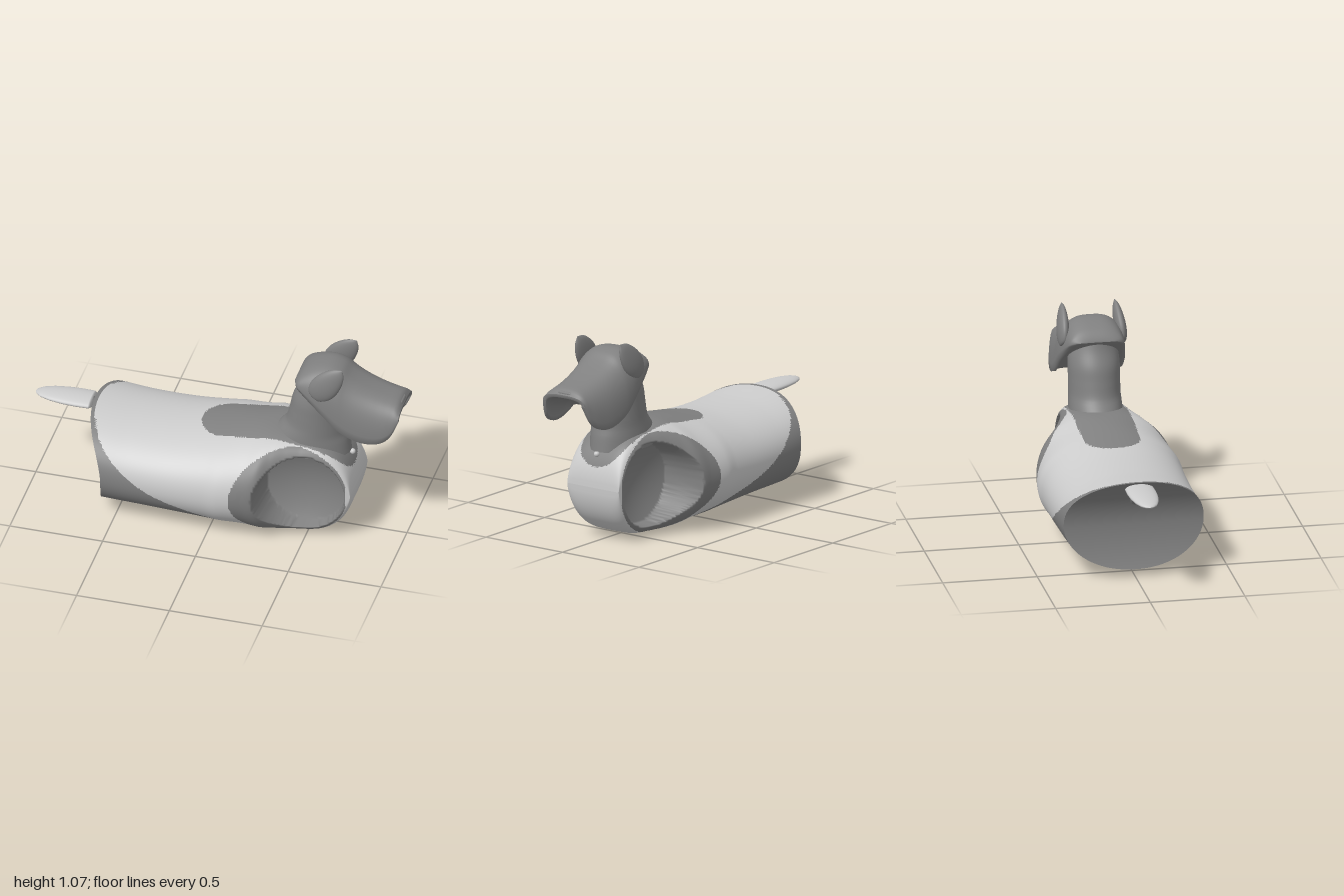
import * as THREE from 'three';

const V = (x, y, z) => new THREE.Vector3(x, y, z);
const light = new THREE.MeshStandardMaterial({ color: 0xcccccc, side: THREE.DoubleSide });
const dark = new THREE.MeshStandardMaterial({ color: 0x808080, side: THREE.DoubleSide });

// smooth interpolation through [x, value] pairs
function curve(pts) {
  const slope = i => {
    const a = pts[Math.max(i - 1, 0)], b = pts[Math.min(i + 1, pts.length - 1)];
    return (b[1] - a[1]) / (b[0] - a[0]);
  };
  return x => {
    if (x <= pts[0][0]) return pts[0][1];
    if (x >= pts[pts.length - 1][0]) return pts[pts.length - 1][1];
    let i = 0;
    while (x > pts[i + 1][0]) i++;
    const h = pts[i + 1][0] - pts[i][0], t = (x - pts[i][0]) / h, t2 = t * t, t3 = t2 * t;
    return pts[i][1] * (2 * t3 - 3 * t2 + 1) + slope(i) * h * (t3 - 2 * t2 + t)
      + pts[i + 1][1] * (3 * t2 - 2 * t3) + slope(i + 1) * h * (t3 - t2);
  };
}

// skin over a row of rings
function loft(rings, closed = true) {
  const n = rings[0].length, m = closed ? n : n - 1, index = [];
  for (let i = 0; i < rings.length - 1; i++) {
    for (let j = 0; j < m; j++) {
      const k = (j + 1) % n, a = i * n + j, b = a + n, c = i * n + k, d = c + n;
      index.push(a, b, c, b, d, c);
    }
  }
  const g = new THREE.BufferGeometry().setFromPoints(rings.flat());
  g.setIndex(index);
  g.computeVertexNormals();
  return g;
}

function add(parent, name, geometry, material, x = 0, y = 0, z = 0) {
  const mesh = new THREE.Mesh(geometry, material);
  mesh.name = name;
  mesh.position.set(x, y, z);
  parent.add(mesh);
  return mesh;
}

// body outline along its length
const topLine = curve([[-0.55, 0.55], [-0.4, 0.53], [-0.2, 0.53], [0, 0.553], [0.2, 0.583], [0.32, 0.59], [0.47, 0.575]]);
const bottomLine = curve([[-0.55, 0.045], [-0.3, 0.04], [0, 0.022], [0.25, 0.005], [0.47, 0.018]]);
const halfWidth = curve([[-0.55, 0.37], [0, 0.378], [0.08, 0.383], [0.2, 0.367], [0.27, 0.35], [0.33, 0.295],
  [0.4, 0.245], [0.5, 0.208], [0.62, 0.187], [0.74, 0.168]]);
const squareness = curve([[0, 2.1], [0.25, 2.2], [0.45, 4], [0.74, 5]]);
const hipLine = curve([[-0.67, 0.56], [-0.5, 0.4], [-0.3, 0.26], [0, 0.13], [0.3, 0.01]]);

function bodyPoint(x0, a) {
  const nose = Math.max(0, (x0 - 0.47) / 0.27);
  const shrink = Math.pow(Math.max(0, 1 - Math.pow(nose, 2.3)), 0.5);
  const t = topLine(x0), b = bottomLine(x0), n = squareness(x0);
  const c = Math.cos(a), s = Math.sin(a);
  const k = Math.pow(Math.abs(c) ** n + Math.abs(s) ** n, -1 / n);
  const y = (t + b) / 2 + (t - b) / 2 * shrink * k * s;
  let z = halfWidth(x0) * k * c;
  // curved rear cut
  const v = (y - 0.28) / 0.26, fade = Math.max(0, (-x0 - 0.1) / 0.45);
  const x = x0 - (v > 0 ? 0.12 : 0.055) * v * v * fade * fade;
  // shoulder socket
  const r = Math.hypot(x - 0.49, y - 0.29);
  if (r < 0.232) {
    const cup = r < 0.217 ? 0.07 + 0.05 * (r / 0.217) ** 2 : 0.12 + 0.28 * (r - 0.217) / 0.015;
    z = Math.sign(z) * Math.min(Math.abs(z), cup);
  }
  return V(x, y, z);
}

function isDark(p) {
  const az = Math.abs(p.z);
  const socket = az > 0.03 && Math.hypot((p.x - 0.432) / 0.292, (p.y - 0.29) / 0.268) < 1 && p.x < 0.715;
  const hip = p.y < hipLine(p.x) && p.x < 0.3;
  const patch = p.y > 0.42 && p.x < 0.6 && (p.x > 0.05 ? az < 0.15 : Math.hypot(p.x - 0.05, p.z) < 0.15);
  const bib = p.x > 0.5 && az < 0.145 && p.y > 0.55 - Math.sqrt(0.145 ** 2 - az * az);
  return socket || hip || patch || bib;
}

function buildBody(parent) {
  const N = 192, S = 150, rings = [];
  for (let i = 0; i <= S; i++) {
    const x = -0.55 + 1.29 * (1 - Math.pow(1 - i / S, 1.35));
    rings.push(Array.from({ length: N }, (_, j) => bodyPoint(x, j / N * Math.PI * 2)));
  }
  const g = loft(rings), flat = rings.flat(), all = g.index.array;
  const sets = [[], []];
  for (let i = 0; i < all.length; i += 3) {
    const tri = [all[i], all[i + 1], all[i + 2]];
    const mid = V(0, 0, 0);
    tri.forEach(k => mid.addScaledVector(flat[k], 1 / 3));
    sets[isDark(mid) ? 1 : 0].push(...[tri[0], tri[1], tri[2]]);
  }
  sets.forEach((set, k) => {
    const part = g.clone();
    part.setIndex(set);
    add(parent, k ? 'bodyInsets' : 'bodyShell', part, k ? dark : light);
  });
  // rear wall, one level row at a time
  const rows = [];
  for (let j = -N / 4; j <= N / 4; j++) {
    rows.push([rings[0][(j + N) % N], rings[0][N / 2 - j]]);
  }
  add(parent, 'rearWall', loft(rows, false), dark);
}

function buildHead(parent) {
  // x, top, bottom, cavity roof, half width
  const stations = [
    [0.425, 0.945, 0.935, 0.936, 0.10], [0.44, 0.968, 0.92, 0.921, 0.135], [0.47, 0.995, 0.895, 0.896, 0.15],
    [0.53, 1.02, 0.845, 0.846, 0.165], [0.60, 1.028, 0.785, 0.786, 0.178], [0.66, 1.01, 0.728, 0.729, 0.182],
    [0.70, 0.978, 0.70, 0.72, 0.182], [0.74, 0.953, 0.68, 0.77, 0.181], [0.80, 0.925, 0.662, 0.785, 0.178],
    [0.86, 0.904, 0.66, 0.80, 0.172], [0.91, 0.89, 0.675, 0.81, 0.165], [0.95, 0.88, 0.71, 0.82, 0.155],
    [0.975, 0.868, 0.76, 0.825, 0.145], [0.99, 0.845, 0.80, 0.83, 0.135]];
  const lines = [1, 2, 3, 4].map(k => curve(stations.map(s => [s[0], s[k]])));
  const M = 32, rings = [];
  const arch = (x, w, top, bot, f) => {
    const a = f * Math.PI, c = Math.cos(a), s = Math.sin(a);
    return V(x, bot + (top - bot) * Math.pow(Math.max(s, 0), 0.8), w * Math.sign(c) * Math.abs(c) ** 0.7);
  };
  const ring = (x, top, bot, roof, w, t) => {
    const r = [];
    for (let j = 0; j <= M; j++) r.push(arch(x, w, top, bot, j / M));
    for (let j = M; j >= 0; j--) r.push(arch(x, w - t, roof, bot, j / M));
    return r;
  };
  for (let i = 0; i <= 56; i++) {
    const x = 0.425 + 0.565 * i / 56;
    rings.push(ring(x, ...lines.map(f => f(x)), 0.018));
  }
  // close both ends
  rings.unshift(ring(0.423, 0.937, 0.936, 0.937, 0.09, 0));
  rings.push(ring(0.99, 0.845, 0.80, 0.845, 0.135, 0));
  add(parent, 'head', loft(rings), dark);

  // nose slot
  const nose = add(parent, 'nose', new THREE.CapsuleGeometry(0.012, 0.06, 6, 12), dark, 0.975, 0.853, 0);
  nose.rotation.x = Math.PI / 2;

  // pointed ears
  const profile = [[0, -0.11], [0.04, -0.1], [0.066, -0.06], [0.072, -0.01], [0.06, 0.05], [0.035, 0.1], [0, 0.132]];
  const outline = new THREE.CatmullRomCurve3(profile.map(p => V(p[0], p[1], 0))).getPoints(24)
    .map(p => new THREE.Vector2(Math.max(p.x, 0), p.y));
  for (const side of [1, -1]) {
    const ear = add(parent, side > 0 ? 'leftEar' : 'rightEar', new THREE.LatheGeometry(outline, 28), dark,
      0.608, 0.974, side * 0.15);
    ear.scale.z = 0.42;
    ear.rotation.set(-side * 0.1, 0, -0.68);
  }
}

function buildNeck(parent) {
  const rows = [[0.48, 0.49, 0.21, 0.142], [0.56, 0.49, 0.2, 0.14], [0.6, 0.5, 0.18, 0.137], [0.64, 0.515, 0.163, 0.135],
    [0.72, 0.527, 0.153, 0.135], [0.8, 0.54, 0.147, 0.135], [0.88, 0.57, 0.138, 0.125], [0.94, 0.575, 0.125, 0.1]];
  const [cx, rx, rz] = [1, 2, 3].map(k => curve(rows.map(r => [r[0], r[k]])));
  const rings = [];
  for (let i = 0; i <= 30; i++) {
    const y = 0.48 + 0.46 * i / 30;
    rings.push(Array.from({ length: 48 }, (_, j) => {
      const a = j / 48 * Math.PI * 2;
      return V(cx(y) + rx(y) * Math.cos(a), y, rz(y) * Math.sin(a));
    }));
  }
  add(parent, 'neck', loft(rings), dark);
  add(parent, 'chestStud', new THREE.SphereGeometry(0.015, 16, 12), light, 0.708, 0.47, 0);
}

function buildTail(parent) {
  const path = new THREE.CatmullRomCurve3([V(-0.57, 0.42, 0), V(-0.64, 0.475, 0), V(-0.71, 0.525, 0)]);
  add(parent, 'tailMount', new THREE.TubeGeometry(path, 12, 0.027, 14), dark);
  const pts = [[0, 0], [0.068, 0], [0.075, 0.01], [0.077, 0.08], [0.073, 0.15], [0.062, 0.22], [0.043, 0.275], [0.022, 0.301], [0, 0.31]]
    .map(p => new THREE.Vector2(...p));
  const tail = add(parent, 'tail', new THREE.LatheGeometry(pts, 32), light, -0.69, 0.525, 0);
  tail.scale.x = 0.33;
  tail.rotation.z = Math.PI / 2;
}

export function createModel() {
  const model = new THREE.Group();
  model.name = 'dogBody';
  buildBody(model);
  buildNeck(model);
  buildHead(model);
  buildTail(model);
  return model;
}
